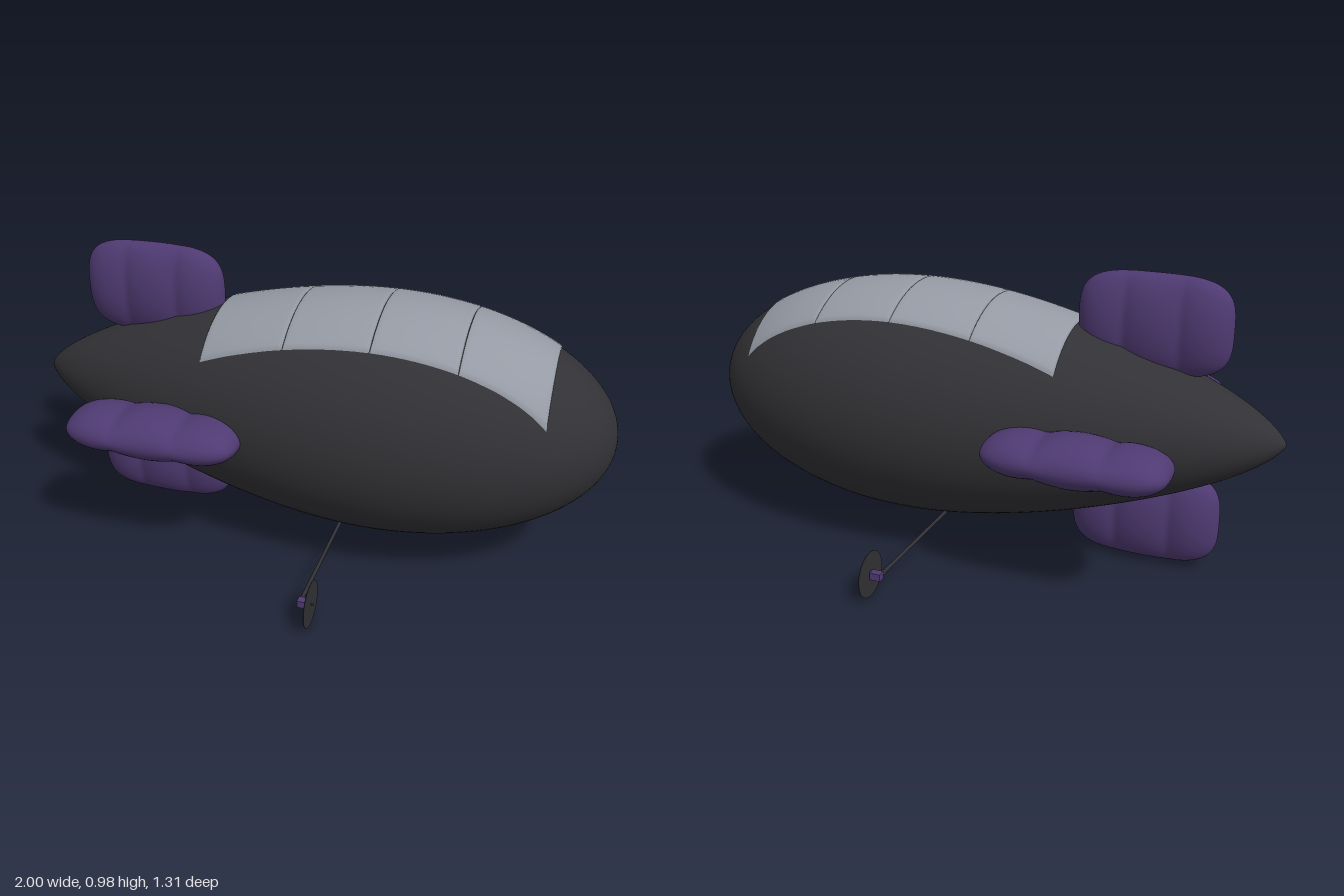
import * as THREE from 'three';
import { mergeVertices } from 'three/addons/utils/BufferGeometryUtils.js';

const AXIS = 0.48; // height of the hull's centre line
const WIDEST = 0.24; // x of the widest hull section

// Hull radius at x: elliptical nose, tapering tail
function hullRadius(x) {
  if (x >= WIDEST) return 0.4 * Math.sqrt(Math.max(0, 1 - ((x - WIDEST) / 0.76) ** 2));
  const t = (WIDEST - x) / 1.24;
  return 0.4 * Math.max(0, 1 - t * t) ** (1.2 - 0.46 * t);
}

function hullGeometry() {
  const profile = [];
  for (let i = 0; i <= 40; i++) {
    const x = WIDEST - 1.24 * Math.cos((i / 40) * Math.PI / 2);
    profile.push(new THREE.Vector2(i === 0 ? 0 : hullRadius(x), x));
  }
  for (let i = 1; i <= 32; i++) {
    const x = WIDEST + 0.76 * Math.sin((i / 32) * Math.PI / 2);
    profile.push(new THREE.Vector2(i === 32 ? 0 : hullRadius(x), x));
  }
  return new THREE.LatheGeometry(profile, 80).rotateZ(-Math.PI / 2);
}

// One raised panel wrapped over the hull top, with edges turned down to the hull
function panelGeometry(x0, x1) {
  const edge = (f) => [0, 0.006, 0.02].concat(f, [0.98, 0.994, 1]);
  const inner = Array.from({ length: 15 }, (_, i) => 0.06 + 0.88 * i / 14);
  const steps = edge(inner), n = steps.length;
  const positions = [], index = [];
  const lift = (i) => (i === 0 || i === n - 1 ? -0.002 : i === 1 || i === n - 2 ? 0.004 : 0.007);
  steps.forEach((a, i) => {
    const x = x0 + (x1 - x0) * a;
    steps.forEach((b, j) => {
      const z = -0.242 + 0.484 * b;
      const r = hullRadius(x) + Math.min(lift(i), lift(j));
      positions.push(x, Math.sqrt(r * r - z * z), z);
      if (i < n - 1 && j < n - 1) {
        const k = i * n + j;
        index.push(k, k + 1, k + n, k + 1, k + n + 1, k + n);
      }
    });
  });
  const geometry = new THREE.BufferGeometry();
  geometry.setAttribute('position', new THREE.Float32BufferAttribute(positions, 3));
  geometry.setIndex(index);
  geometry.computeVertexNormals();
  return geometry;
}

// Inflated fin: rounded-rectangle outline, three lobes along its length
function finGeometry(length, height, thickness) {
  let geometry = new THREE.SphereGeometry(1, 40, 72).rotateZ(-Math.PI / 2);
  const p = geometry.attributes.position;
  const lobe = (u, centre, width) => Math.sqrt(Math.max(0, 1 - ((u - centre) / width) ** 2));
  for (let i = 0; i < p.count; i++) {
    const u = THREE.MathUtils.clamp(p.getX(i), -1, 1);
    const y = p.getY(i), z = p.getZ(i), d = Math.hypot(y, z);
    const cy = d > 1e-5 ? y / d : 0, cz = d > 1e-5 ? z / d : 0;
    const h = height * Math.max(0, 1 - Math.abs(u) ** 3.5) ** (1 / 3.5);
    const t = thickness * Math.max(lobe(u, 0, 0.55), 0.88 * lobe(Math.abs(u), 0.58, 0.42));
    p.setXYZ(i, u * length, cy * h, cz * t);
  }
  geometry.deleteAttribute('normal');
  geometry.deleteAttribute('uv');
  geometry = mergeVertices(geometry, 1e-5);
  geometry.computeVertexNormals();
  return geometry;
}

export function createModel() {
  const charcoal = new THREE.MeshStandardMaterial({ color: 0x323236 });
  charcoal.name = 'charcoal';
  const purple = new THREE.MeshStandardMaterial({ color: 0x4f3a72 });
  purple.name = 'purple';
  const silver = new THREE.MeshStandardMaterial({ color: 0x959aa4, side: THREE.DoubleSide });
  silver.name = 'silver';

  const model = new THREE.Group();
  model.name = 'airship';
  const add = (name, geometry, material, x, y, z, parent = model) => {
    const mesh = new THREE.Mesh(geometry, material);
    mesh.name = name;
    mesh.position.set(x, y, z);
    parent.add(mesh);
    return mesh;
  };

  add('hull', hullGeometry(), charcoal, 0, AXIS, 0);

  // Four panels along the top
  const seams = [-0.32, -0.04, 0.24, 0.515, 0.79];
  for (let i = 0; i < 4; i++) {
    add('topPanel' + (i + 1), panelGeometry(seams[i], seams[i + 1]), silver, 0, AXIS, 0);
  }

  // Tail fins, mirrored up/down and left/right
  const uprightFin = finGeometry(0.247, 0.163, 0.072);
  const sideFin = finGeometry(0.293, 0.126, 0.079).rotateX(Math.PI / 2);
  add('upperFin', uprightFin, purple, -0.567, 0.822, 0);
  add('lowerFin', uprightFin, purple, -0.567, 0.178, 0);
  add('leftFin', sideFin, purple, -0.437, AXIS, 0.362);
  add('rightFin', sideFin, purple, -0.437, AXIS, -0.362);

  // Cross rod under the hull with its mounting block
  const rod = new THREE.CylinderGeometry(0.006, 0.006, 1.14, 12).rotateX(Math.PI / 2);
  add('crossRod', rod, charcoal, 0.122, 0.079, 0);
  add('rodMount', new THREE.BoxGeometry(0.07, 0.014, 0.11), purple, 0.122, 0.081, 0);

  // Motor and thin propeller disc on each rod end
  for (const side of [1, -1]) {
    const unit = new THREE.Group();
    unit.name = side > 0 ? 'leftPropeller' : 'rightPropeller';
    unit.position.set(0, 0.079, side * 0.577);
    model.add(unit);
    add('motor', new THREE.BoxGeometry(0.036, 0.024, 0.026), purple, 0.133, 0, 0, unit);
    add('shaft', new THREE.CylinderGeometry(0.003, 0.003, 0.02, 8).rotateZ(Math.PI / 2),
      charcoal, 0.156, 0, 0, unit);
    add('propellerDisc', new THREE.CylinderGeometry(0.076, 0.076, 0.002, 40).rotateZ(Math.PI / 2),
      charcoal, 0.155, 0, 0, unit);
    add('rodCollar', new THREE.CylinderGeometry(0.008, 0.008, 0.02, 12).rotateX(Math.PI / 2),
      charcoal, 0.122, 0, -side * 0.02, unit);
  }
  return model;
}
